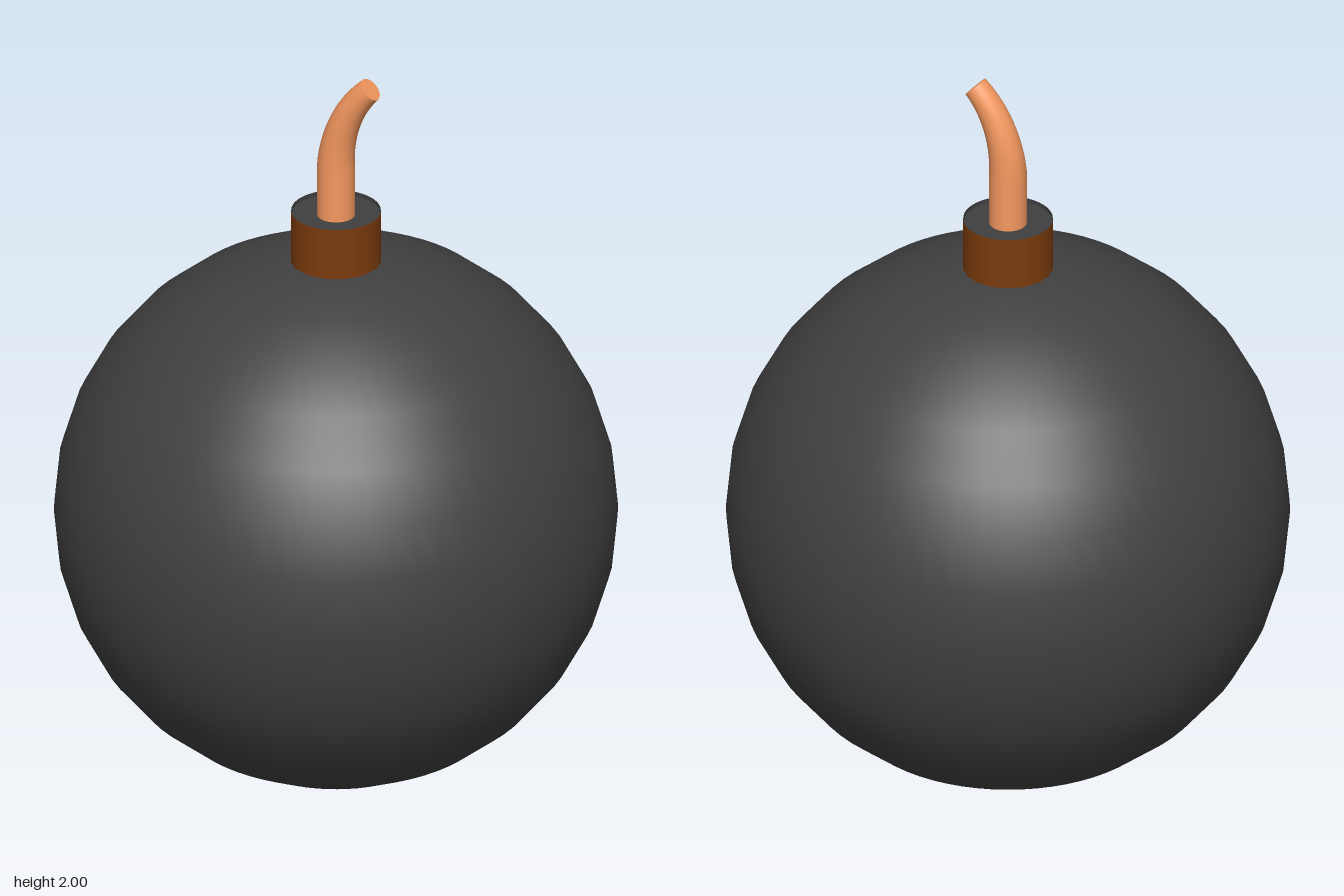
import * as THREE from 'three';

function addPart(group, name, geometry, color, side = THREE.FrontSide) {
  const mesh = new THREE.Mesh(geometry, new THREE.MeshStandardMaterial({ color, side }));
  mesh.name = name;
  group.add(mesh);
  return mesh;
}

export function createModel() {
  const model = new THREE.Group();
  model.name = 'roundBomb';
  const R = 0.737, collarR = 0.118, collarBottom = 1.455, collarTop = 1.606;
  const dark = 0x404040, brown = 0x7a3a0c, copper = 0xf4985f;

  // Round body, coarse from pole to pole and fine around
  addPart(model, 'body', new THREE.SphereGeometry(R, 64, 16), dark).position.y = R;

  // Collar wall with a shallow dark cup on top
  const wall = new THREE.CylinderGeometry(collarR, collarR, collarTop - collarBottom, 48, 1, true);
  addPart(model, 'collar', wall, brown).position.y = (collarTop + collarBottom) / 2;
  const floorY = collarTop - 0.012;
  const floor = new THREE.CircleGeometry(collarR, 48).rotateX(-Math.PI / 2).translate(0, floorY, 0);
  addPart(model, 'collarTop', floor, dark);
  const lip = new THREE.CylinderGeometry(collarR - 0.001, collarR - 0.001, 0.012, 48, 1, true);
  addPart(model, 'collarLip', lip, dark, THREE.BackSide).position.y = collarTop - 0.006;

  // Fuse: straight from the collar, then bending to the left and tapering
  const path = new THREE.CurvePath();
  const start = new THREE.Vector3(0, 1.56, 0), bend = new THREE.Vector3(0, 1.73, 0);
  path.add(new THREE.LineCurve3(start, bend));
  path.add(new THREE.CubicBezierCurve3(bend, new THREE.Vector3(0, 1.82, 0),
    new THREE.Vector3(0.03, 1.91, 0), new THREE.Vector3(0.097, 1.975, 0)));
  const rings = 28, sides = 24, baseR = 0.05, tipR = 0.033;
  const fuse = new THREE.TubeGeometry(path, rings, baseR, sides, false);
  const pos = fuse.attributes.position, v = new THREE.Vector3();
  for (let i = 0; i <= rings; i++) {
    const t = i / rings, centre = path.getPointAt(t);
    const taper = THREE.MathUtils.lerp(1, tipR / baseR, Math.max(0, (t - 0.4) / 0.6));
    for (let j = 0; j <= sides; j++) {
      const k = i * (sides + 1) + j;
      v.fromBufferAttribute(pos, k).sub(centre).multiplyScalar(taper).add(centre);
      pos.setXYZ(k, v.x, v.y, v.z);
    }
  }
  addPart(model, 'fuse', fuse, copper);

  // Flat end of the fuse
  const tip = addPart(model, 'fuseTip', new THREE.CircleGeometry(tipR, sides), copper);
  tip.position.copy(path.getPointAt(1));
  tip.quaternion.setFromUnitVectors(new THREE.Vector3(0, 0, 1), path.getTangentAt(1));
  return model;
}
